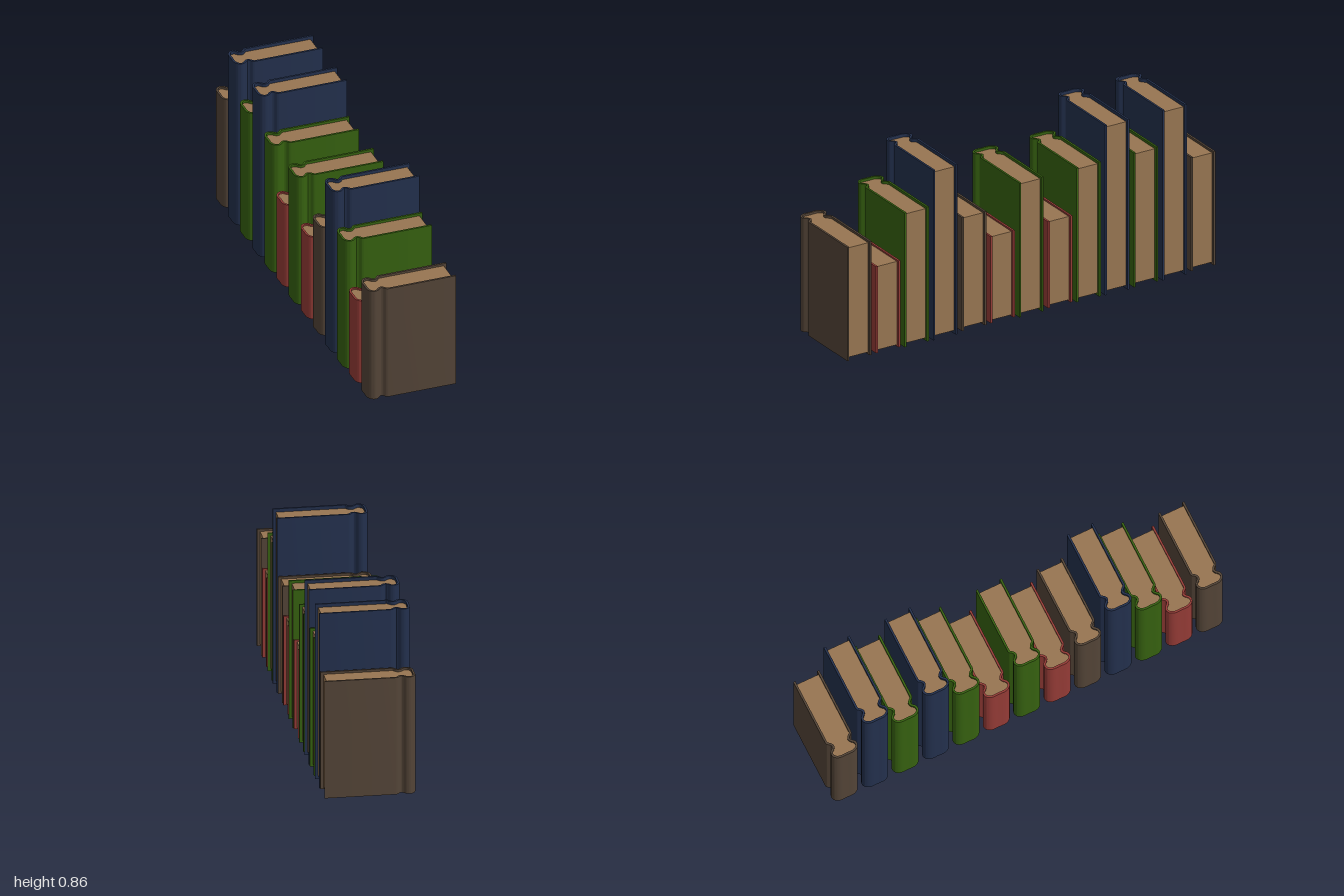
import * as THREE from 'three';
import { toCreasedNormals } from 'three/addons/utils/BufferGeometryUtils.js';

const paint = (name, color) => {
  const m = new THREE.MeshStandardMaterial({ color });
  m.name = name;
  return m;
};

const BOARD = 0.01;      // cover thickness
const HALF = 0.066;      // half thickness of a book
const FORE_EDGE = 0.212; // front edge of the covers
const PAGE_EDGE = 0.198; // front edge of the pages
const PITCH = 0.1555;    // distance between books

// Half outline of the binding: spine, rounded shoulder, hinge groove, board
const spine = new THREE.SplineCurve([
  [-0.214, 0], [-0.214, 0.034], [-0.203, 0.057], [-0.186, HALF], [-0.169, 0.062],
  [-0.156, 0.049], [-0.147, 0.045], [-0.138, 0.051], [-0.128, 0.063], [-0.118, HALF],
].map(([x, z]) => new THREE.Vector2(x, z))).getPoints(36);

// The same outline moved inwards by a distance
function inset(points, d) {
  return points.map((p, i) => {
    const a = points[Math.max(i - 1, 0)], b = points[Math.min(i + 1, points.length - 1)];
    const t = i === 0 ? new THREE.Vector2(0, 1)
      : i === points.length - 1 ? new THREE.Vector2(1, 0) : b.clone().sub(a).normalize();
    return new THREE.Vector2(p.x + t.y * d, p.y - t.x * d);
  });
}

// Full outline from the front edge, round the spine and back
function outline(half, edge) {
  const side = [...half, new THREE.Vector2(edge, half[half.length - 1].y)];
  const mirrored = side.slice(1).reverse().map((p) => new THREE.Vector2(p.x, -p.y));
  return [...mirrored, ...side];
}

function upright(points, bottom, top) {
  const geometry = new THREE.ExtrudeGeometry(new THREE.Shape(points), {
    depth: top - bottom, bevelEnabled: false,
  });
  geometry.rotateX(-Math.PI / 2).translate(0, bottom, 0);
  return toCreasedNormals(geometry, 0.6);
}

const inner = inset(spine, BOARD);
const coverOutline = [...outline(spine, FORE_EDGE), ...outline(inner, FORE_EDGE).reverse()];
const pageOutline = outline(inset(spine, BOARD - 0.001), PAGE_EDGE);

export function createModel() {
  const group = new THREE.Group();
  group.name = 'rowOfBooks';
  const paper = paint('paper', 0x977551);

  // Kinds of book: colour, bottom, top and page margin
  const kinds = {
    brown: { cover: paint('brownCover', 0x534437), bottom: 0.009, top: 0.582, margin: 0.011 },
    red: { cover: paint('redCover', 0x943b36), bottom: 0.011, top: 0.447, margin: 0.008 },
    green: { cover: paint('greenCover', 0x366110), bottom: 0.003, top: 0.68, margin: 0.013 },
    blue: { cover: paint('blueCover', 0x23304d), bottom: 0, top: 0.857, margin: 0.016 },
  };
  for (const k of Object.values(kinds)) {
    k.coverGeometry = upright(coverOutline, k.bottom, k.top);
    k.pageGeometry = upright(pageOutline, k.bottom + k.margin, k.top - k.margin);
  }

  // The row, from front to back
  const row = ['brown', 'red', 'green', 'blue', 'brown', 'red', 'green',
    'red', 'green', 'blue', 'green', 'blue', 'brown'];
  row.forEach((kind, i) => {
    const k = kinds[kind];
    const book = new THREE.Group();
    book.name = `${kind}Book${i + 1}`;
    const cover = new THREE.Mesh(k.coverGeometry, k.cover);
    cover.name = 'cover';
    const pages = new THREE.Mesh(k.pageGeometry, paper);
    pages.name = 'pages';
    book.add(cover, pages);
    book.position.z = ((row.length - 1) / 2 - i) * PITCH;
    group.add(book);
  });
  return group;
}
